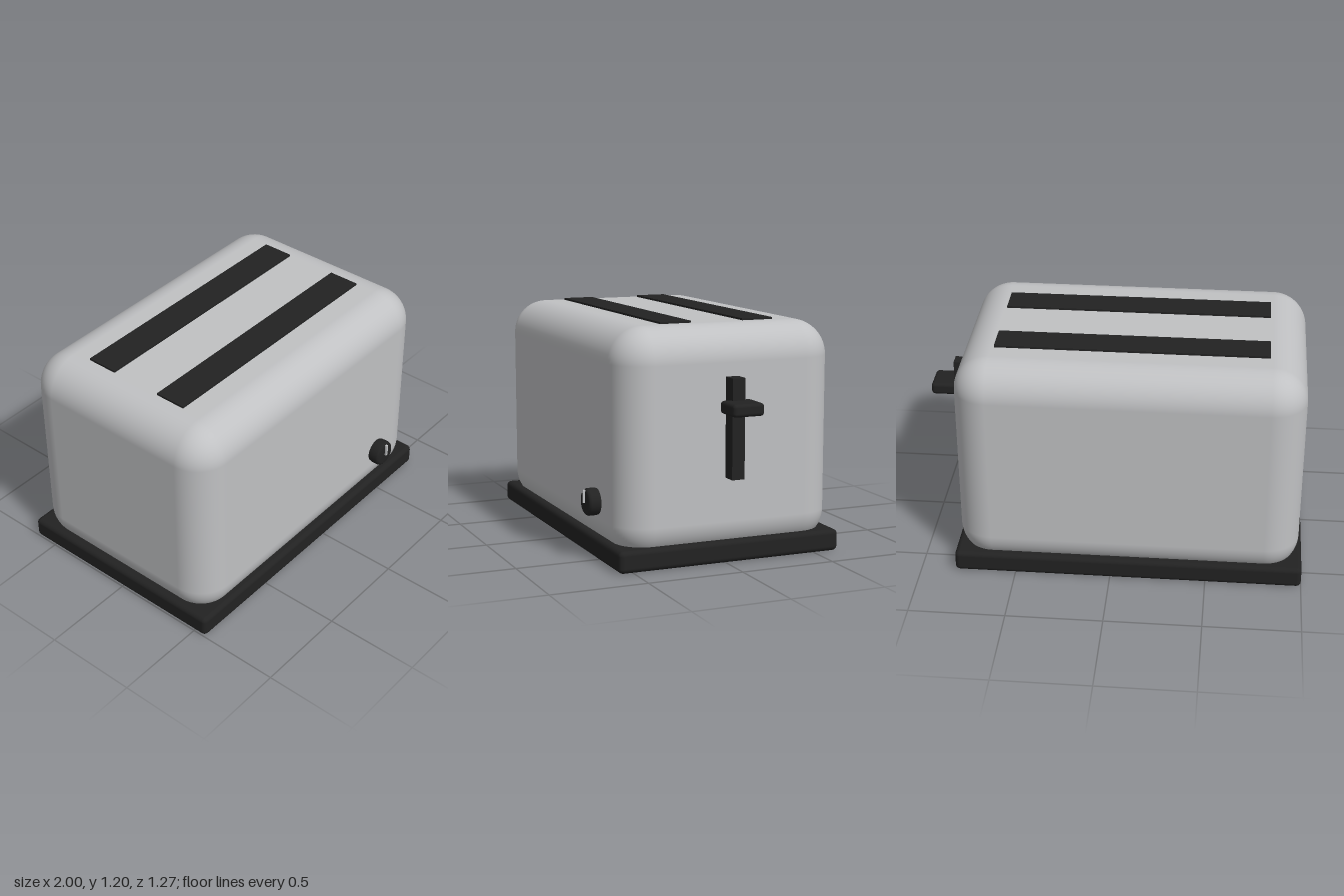
import * as THREE from 'three';
import { RoundedBoxGeometry } from 'three/addons/geometries/RoundedBoxGeometry.js';

export function createModel() {
  const model = new THREE.Group();
  model.name = 'toaster';

  const steel = new THREE.MeshStandardMaterial({ color: 0xc0c1c3 });
  steel.name = 'brushed steel';
  const black = new THREE.MeshStandardMaterial({ color: 0x222222 });
  black.name = 'black plastic';

  // Adds a box spanning min..max on each axis, rounded when a radius is given
  function addBox(name, material, [x0, x1], [y0, y1], [z0, z1], radius = 0, segments = 3) {
    const size = [x1 - x0, y1 - y0, z1 - z0];
    const geometry = radius
      ? new RoundedBoxGeometry(...size, segments, radius)
      : new THREE.BoxGeometry(...size);
    const mesh = new THREE.Mesh(geometry, material);
    mesh.name = name;
    mesh.position.set((x0 + x1) / 2, (y0 + y1) / 2, (z0 + z1) / 2);
    model.add(mesh);
    return mesh;
  }

  // Plinth and soft-cornered shell
  addBox('base', black, [-1, 0.82], [0, 0.112], [-0.635, 0.575], 0.025);
  addBox('body', steel, [-0.98, 0.805], [0.03, 1.19], [-0.62, 0.56], 0.18, 8);

  // Two bread slots on top
  for (const z of [-0.26, 0.19]) {
    addBox('breadSlot', black, [-0.785, 0.61], [1.18, 1.2], [z - 0.084, z + 0.084]);
  }

  // Lever and its track on the left side
  addBox('leverTrack', black, [0.78, 0.882], [0.435, 0.94], [-0.063, 0.005]);
  addBox('leverHandle', black, [0.84, 1], [0.766, 0.83], [-0.113, 0.055], 0.018);

  // Browning dial with bevelled rims, turned about the z axis
  const profile = [
    [0, -0.01], [0.067, -0.01], [0.067, 0], [0.07, 0.012],
    [0.07, 0.048], [0.066, 0.058], [0.056, 0.065], [0, 0.065],
  ].map(([r, h]) => new THREE.Vector2(r, h));
  const dial = new THREE.Mesh(new THREE.LatheGeometry(profile, 32), black);
  dial.name = 'browningDial';
  dial.rotation.x = Math.PI / 2;
  dial.position.set(0.47, 0.295, 0.56);
  model.add(dial);

  // Pointer mark on the dial
  addBox('dialPointer', steel, [0.464, 0.477], [0.293, 0.358], [0.622, 0.635]);

  return model;
}
